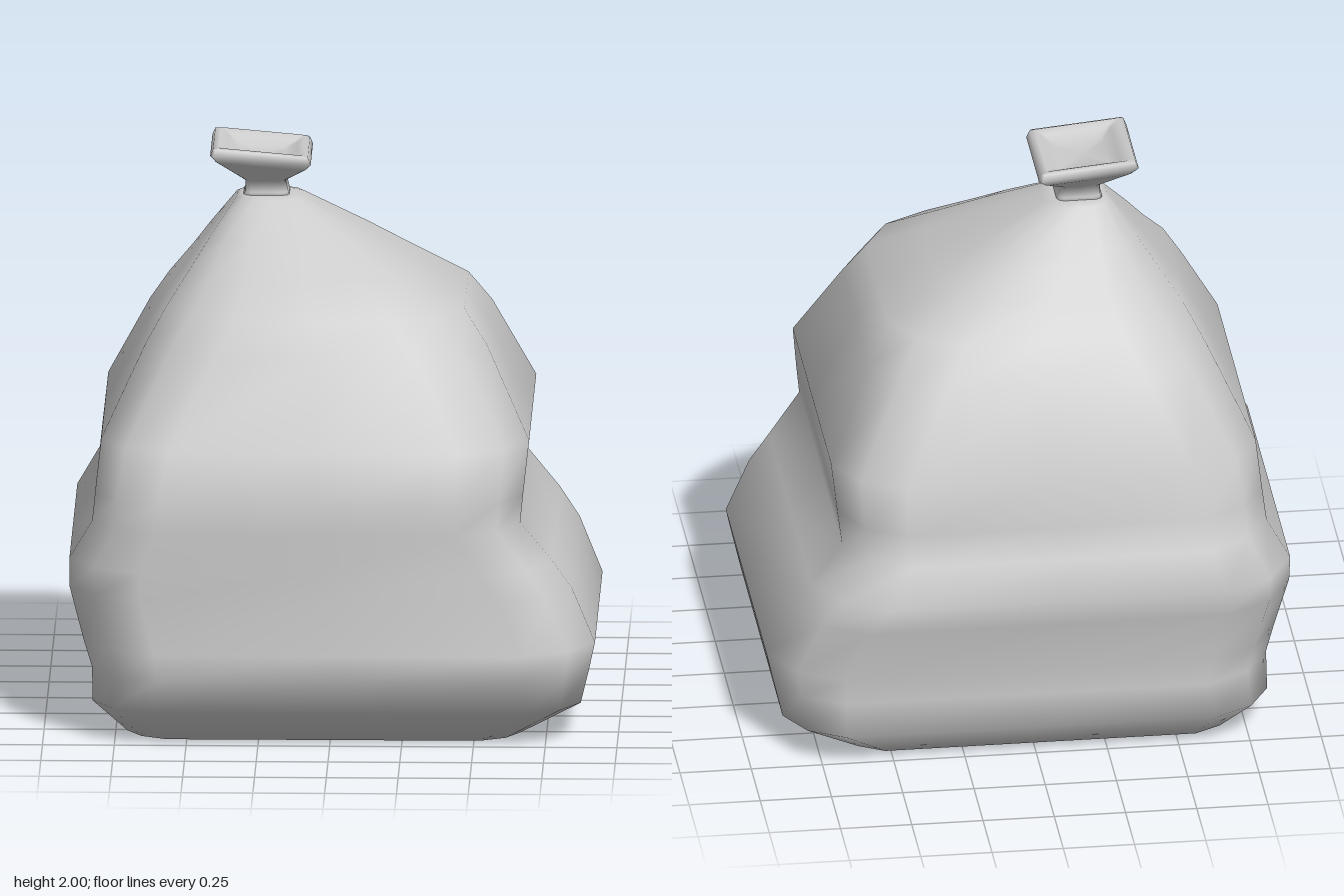
import * as THREE from 'three';

const material = new THREE.MeshStandardMaterial({ color: 0xcccccc });

// Rounded-rectangle outline, running from +x towards +z; cut is the corner size
function outline(x0, x1, z0, z1, cut) {
  const c = cut, k = cut * 0.36;
  const mx = (x0 + x1) / 2, mz = (z0 + z1) / 2;
  return [
    [x1, mz], [x1, z1 - c], [x1 - k, z1 - k], [x1 - c, z1],
    [mx, z1], [x0 + c, z1], [x0 + k, z1 - k], [x0, z1 - c],
    [x0, mz], [x0, z0 + c], [x0 + k, z0 + k], [x0 + c, z0],
    [mx, z0], [x1 - c, z0], [x1 - k, z0 + k], [x1, z0 + c],
  ];
}

// Skin over rings of [y, x0, x1, z0, z1, cut, tilt], closed at both ends
function loft(name, rings) {
  const pos = [], index = [], n = 16;
  for (const [y, x0, x1, z0, z1, cut, tilt = 0] of rings) {
    const mx = (x0 + x1) / 2;
    for (const [x, z] of outline(x0, x1, z0, z1, cut)) pos.push(x, y - tilt * (x - mx), z);
  }
  for (let r = 0; r < rings.length - 1; r++) {
    for (let i = 0; i < n; i++) {
      const a = r * n + i, b = r * n + (i + 1) % n;
      index.push(a, a + n, b, b, a + n, b + n);
    }
  }
  const ends = [rings[0], rings[rings.length - 1]];
  ends.forEach(([y, x0, x1, z0, z1], e) => {
    const centre = pos.length / 3, start = e * (rings.length - 1) * n;
    pos.push((x0 + x1) / 2, y, (z0 + z1) / 2);
    for (let i = 0; i < n; i++) {
      const a = start + i, b = start + (i + 1) % n;
      if (e === 0) index.push(centre, a, b);
      else index.push(centre, b, a);
    }
  });
  const geometry = new THREE.BufferGeometry();
  geometry.setAttribute('position', new THREE.Float32BufferAttribute(pos, 3));
  geometry.setIndex(index);
  geometry.computeVertexNormals();
  const mesh = new THREE.Mesh(geometry, material);
  mesh.name = name;
  return mesh;
}

export function createModel() {
  const group = new THREE.Group();
  group.name = 'tiedSack';

  // Slumped body, bulging low on its left side
  group.add(loft('sackBody', [
    [0.00, -0.71, 0.66, -0.67, 0.65, 0.14],
    [0.12, -0.83, 0.87, -0.79, 0.77, 0.20],
    [0.25, -0.83, 0.90, -0.79, 0.85, 0.23],
    [0.34, -0.86, 0.92, -0.79, 0.84, 0.25],
    [0.53, -0.91, 0.84, -0.82, 0.83, 0.25],
    [0.63, -0.91, 0.77, -0.85, 0.83, 0.25],
    [0.77, -0.83, 0.66, -0.80, 0.83, 0.22],
    [0.87, -0.82, 0.67, -0.75, 0.83, 0.22],
    [1.05, -0.80, 0.69, -0.75, 0.79, 0.24],
    [1.35, -0.65, 0.54, -0.60, 0.62, 0.24],
    [1.47, -0.58, 0.46, -0.50, 0.57, 0.24],
    [1.58, -0.50, 0.28, -0.38, 0.42, 0.20],
    [1.68, -0.43, 0.11, -0.27, 0.28, 0.14],
    [1.80, -0.34, -0.11, -0.13, 0.10, 0.06],
    [1.81, -0.32, -0.15, -0.10, 0.08, 0.04],
  ]));

  // Pinched neck flaring into a tilted square mouth with a sunken middle
  group.add(loft('tiedNeck', [
    [1.79, -0.33, -0.15, -0.10, 0.07, 0.03],
    [1.82, -0.31, -0.16, -0.09, 0.06, 0.02],
    [1.86, -0.31, -0.17, -0.09, 0.06, 0.02],
    [1.93, -0.41, -0.10, -0.18, 0.15, 0.015, 0.09],
    [1.955, -0.43, -0.08, -0.20, 0.17, 0.01, 0.09],
    [1.98, -0.42, -0.09, -0.195, 0.165, 0.01, 0.09],
    [1.985, -0.40, -0.11, -0.18, 0.15, 0.01, 0.09],
    [1.97, -0.37, -0.13, -0.15, 0.13, 0.01, 0.09],
    [1.945, -0.34, -0.17, -0.11, 0.09, 0.02, 0.09],
  ]));

  return group;
}
